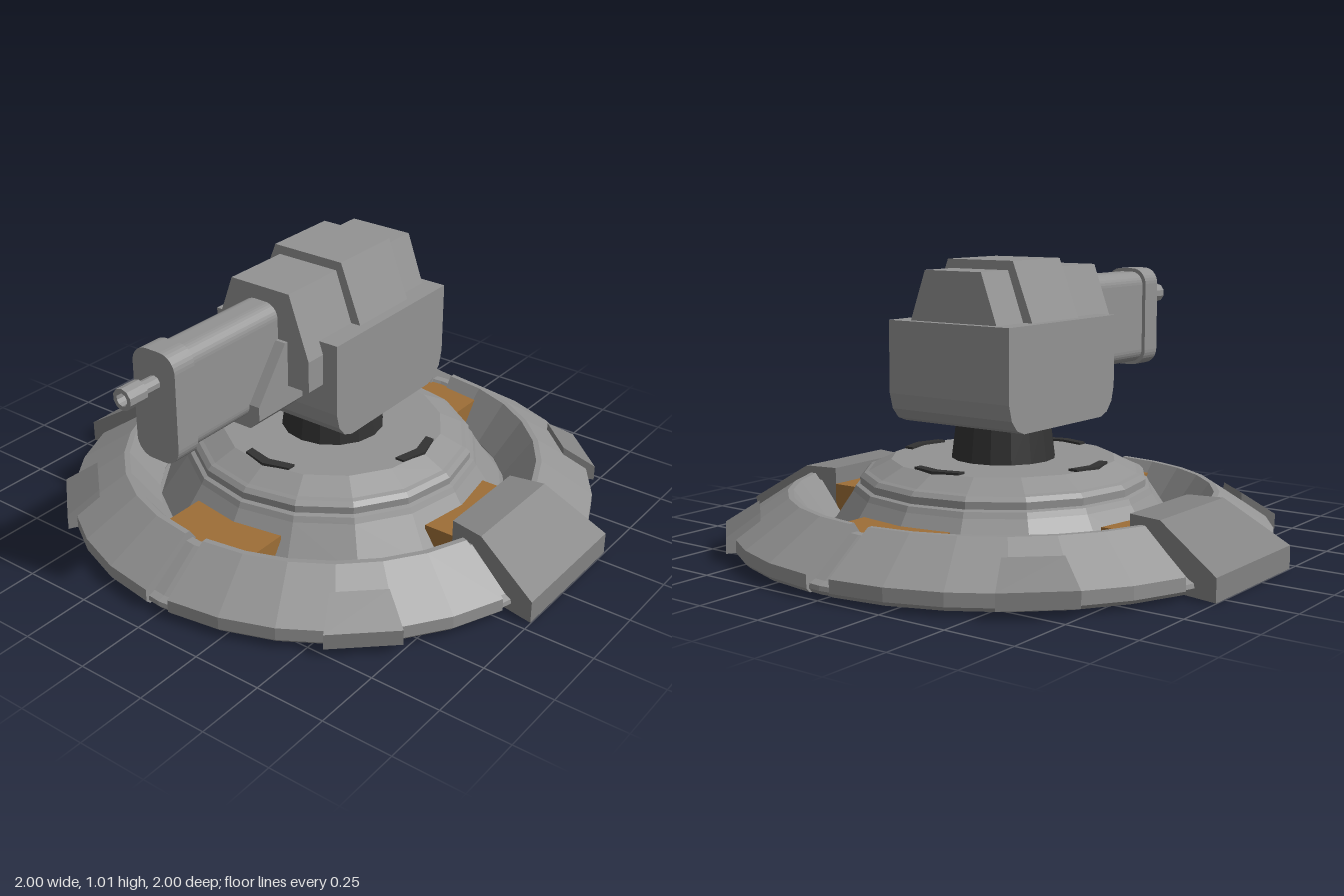
import * as THREE from 'three';

const material = (color) => new THREE.MeshStandardMaterial({ color, flatShading: true, side: THREE.DoubleSide });
const grey = material(0x939393);
const darkGrey = material(0x828282);
const black = material(0x323232);
const orange = material(0x9d6e37);

const CENTRE_Z = -0.045;

function add(parent, name, geometry, mat = grey) {
  const mesh = new THREE.Mesh(geometry, mat);
  mesh.name = name;
  parent.add(mesh);
  return mesh;
}

const points = (list) => list.map(([x, y]) => new THREE.Vector2(x, y));

// Rectangular cross-sections stacked along y: rows of [y, halfWidth, zMin, zMax]
function loft(rows) {
  const pos = [];
  const index = [];
  for (const [y, w, lo, hi] of rows) pos.push(-w, y, lo, w, y, lo, w, y, hi, -w, y, hi);
  for (let r = 0; r < rows.length - 1; r++) {
    for (let i = 0; i < 4; i++) {
      const a = r * 4 + i;
      const b = r * 4 + (i + 1) % 4;
      index.push(a, a + 4, b, b, a + 4, b + 4);
    }
  }
  const t = (rows.length - 1) * 4;
  index.push(0, 1, 2, 0, 2, 3, t, t + 2, t + 1, t, t + 3, t + 2);
  const g = new THREE.BufferGeometry();
  g.setAttribute('position', new THREE.Float32BufferAttribute(pos, 3));
  g.setIndex(index);
  const flat = g.toNonIndexed();
  flat.computeVertexNormals();
  return flat;
}

// Loft pointing outwards from the centre: rows of [radius, halfWidth, yMin, yMax]
const radialLoft = (rows) => loft(rows).rotateX(-Math.PI / 2);

// Bar bent in the middle, with parallel ends: [inner, outer] radius at its ends and its middle
function bentBar(halfLength, y0, y1, end, middle) {
  const h = (y1 - y0) / 2;
  return loft([[-halfLength, h, ...end], [0, h, ...middle], [halfLength, h, ...end]])
    .rotateZ(-Math.PI / 2).translate(0, y0 + h, 0);
}

// Closed profile swept through part of a circle, with end caps
function sector(parent, name, profile, start, length, segments) {
  const group = new THREE.Group();
  group.name = name;
  const pts = points(profile);
  add(group, name + 'Sweep', new THREE.LatheGeometry([...pts, pts[0].clone()], segments, start, length));
  for (const angle of [start, start + length]) {
    add(group, name + 'End', new THREE.ShapeGeometry(new THREE.Shape(pts))).rotation.y = angle - Math.PI / 2;
  }
  parent.add(group);
}

// Upright rounded bar running from z0 to z1
function roundedBar(w, y0, y1, r, z0, z1) {
  const s = new THREE.Shape();
  s.moveTo(w, y0 + r);
  s.lineTo(w, y1 - r);
  s.absarc(w - r, y1 - r, r, 0, Math.PI / 2);
  s.absarc(-w + r, y1 - r, r, Math.PI / 2, Math.PI);
  s.absarc(-w + r, y0 + r, r, Math.PI, Math.PI * 1.5);
  s.absarc(w - r, y0 + r, r, Math.PI * 1.5, Math.PI * 2);
  return new THREE.ExtrudeGeometry(s, { depth: z1 - z0, bevelEnabled: false, curveSegments: 4 }).translate(0, 0, z0);
}

function createBase() {
  const base = new THREE.Group();
  base.name = 'base';

  // Foundation under the ring, with the moat floor
  add(base, 'foundation', new THREE.LatheGeometry(points([
    [0, 0.02], [0.64, 0.02], [0.64, 0.015], [0.935, 0.015], [0.948, 0.03], [0.945, 0.045], [0.92, 0.055],
    [0.765, 0.17], [0.735, 0.17], [0.65, 0.05], [0.6, 0.05],
  ]), 32));

  // Stepped hub
  add(base, 'hub', new THREE.LatheGeometry(points([
    [0.635, 0.05], [0.535, 0.2], [0.525, 0.22], [0.51, 0.225], [0.51, 0.25],
    [0.495, 0.265], [0.48, 0.27], [0.4, 0.31], [0, 0.31],
  ]), 16));

  // Four raised ring segments with gaps between them
  const ring = [
    [0.65, 0.015], [0.94, 0.015], [0.955, 0.03], [0.955, 0.075], [0.765, 0.2], [0.745, 0.2], [0.64, 0.055],
  ];
  const from = 0.05;
  const to = 1.265;
  for (const start of [from, Math.PI - to, Math.PI + from, -to]) {
    sector(base, 'ringSegment', ring, start, to - from, 6);
  }

  for (let i = 0; i < 4; i++) {
    const angle = i * Math.PI / 2;
    // Orange blocks in the moat
    add(base, 'moatBlock', bentBar(0.185, 0.05, 0.16, [0.535, 0.71], [0.565, 0.728]), orange).rotation.y = angle;
    // Dark slots on the hub
    add(base, 'hubSlot', bentBar(0.095, 0.29, 0.318, [0.345, 0.378], [0.368, 0.405]), black).rotation.y = angle;
  }

  // Diagonal clips on the ring
  const clipAngle = 0.745;
  for (const angle of [clipAngle, -clipAngle, Math.PI - clipAngle, Math.PI + clipAngle]) {
    add(base, 'ringClip', radialLoft([[0.86, 0.097, 0.03, 0.162], [0.978, 0.127, 0.03, 0.085]]), darkGrey)
      .rotation.y = angle;
  }

  // Side ramps
  for (const side of [-1, 1]) {
    const rows = [[0.645, 0.185, 0, 0.22], [0.77, 0.21, 0, 0.22], [0.998, 0.255, 0, 0.08]];
    add(base, 'sideRamp', radialLoft(rows), darkGrey).rotation.y = side * Math.PI / 2;
  }

  // Neck carrying the turret
  add(base, 'neck', new THREE.CylinderGeometry(0.167, 0.187, 0.16, 16), black).position.y = 0.38;
  base.position.z = CENTRE_Z;
  return base;
}

function createTurret() {
  const turret = new THREE.Group();
  turret.name = 'turret';

  // Cradle with rounded lower edges
  add(turret, 'cradle', loft([
    [0.445, 0.258, -0.275, 0.19], [0.46, 0.258, -0.315, 0.23], [0.495, 0.258, -0.345, 0.26],
    [0.55, 0.258, -0.36, 0.275], [0.805, 0.258, -0.36, 0.275],
  ]));

  // Housing and the raised band around it
  add(turret, 'gunHousing', loft([
    [0.65, 0.2, -0.33, 0.352], [0.76, 0.2, -0.33, 0.352], [0.98, 0.12, -0.33, 0.352],
  ]));
  add(turret, 'housingBand', loft([[0.78, 0.231, -0.18, 0.098], [1.012, 0.14, -0.18, 0.098]]));

  // Sloped support under the barrel
  add(turret, 'barrelSupport', loft([
    [0.543, 0.075, 0.25, 0.503], [0.58, 0.113, 0.25, 0.503], [0.63, 0.113, 0.25, 0.503], [0.81, 0.113, 0.25, 0.365],
  ]));

  // Barrel, collar and muzzle
  add(turret, 'barrel', roundedBar(0.073, 0.575, 0.93, 0.05, 0.3, 0.78));
  add(turret, 'barrelCollar', roundedBar(0.087, 0.562, 0.943, 0.06, 0.77, 0.86));
  const muzzle = add(turret, 'muzzle', new THREE.LatheGeometry(points([
    [0.025, 0.84], [0.025, 0.92], [0.037, 0.925], [0.037, 1], [0.022, 1], [0.022, 0.94], [0, 0.94],
  ]), 10));
  muzzle.rotation.x = Math.PI / 2;
  muzzle.position.y = 0.834;
  return turret;
}

export function createModel() {
  const model = new THREE.Group();
  model.name = 'gunTurret';
  model.add(createBase(), createTurret());
  return model;
}
